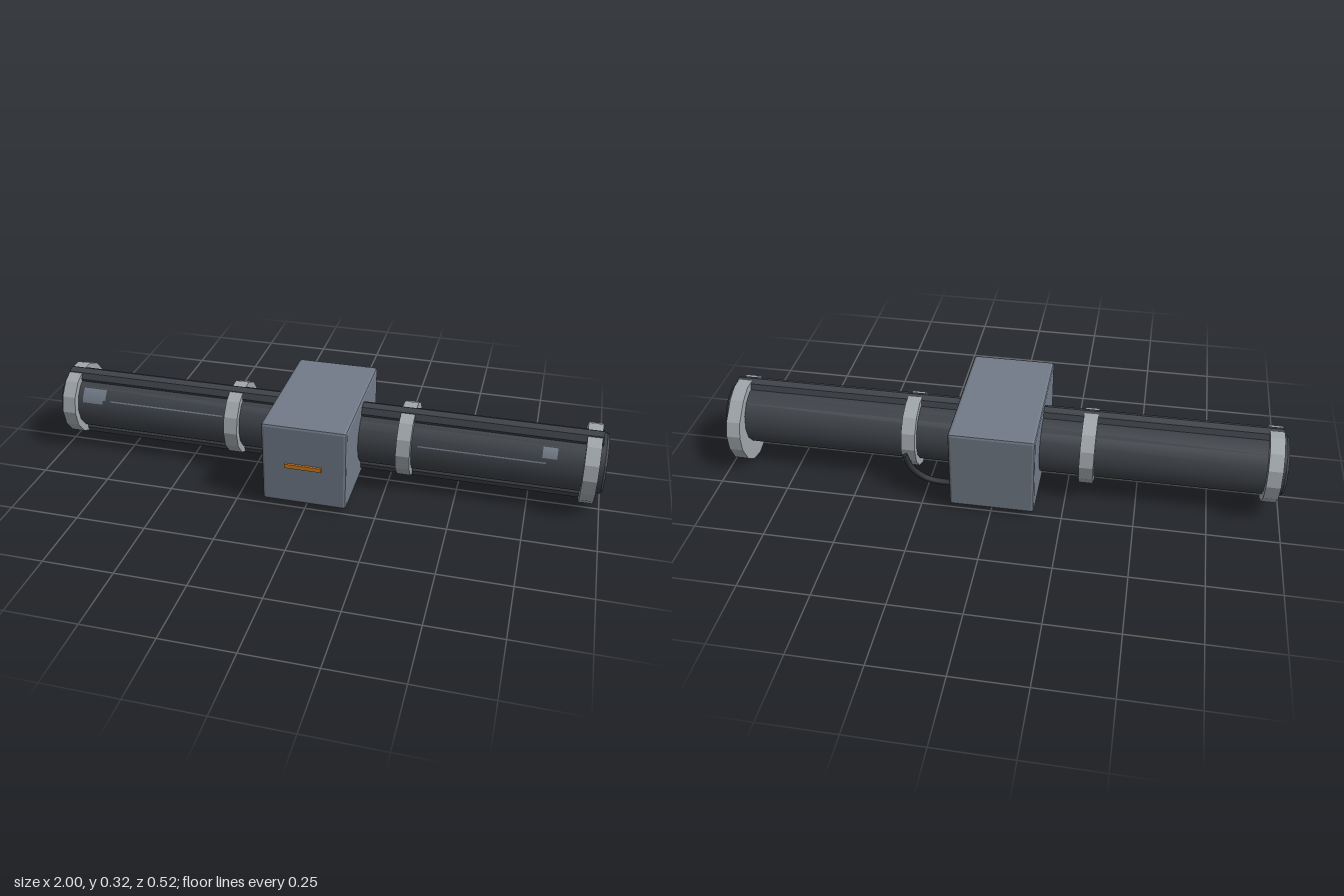
import * as THREE from 'three';
import { RoundedBoxGeometry } from 'three/addons/geometries/RoundedBoxGeometry.js';

const mat = (name, color, side = THREE.FrontSide) => {
  const m = new THREE.MeshStandardMaterial({ color, side });
  m.name = name;
  return m;
};

export function createModel() {
  const slate = mat('slate', 0x717a87);
  const slatePatch = mat('slate patch', 0x717a87, THREE.DoubleSide);
  const dark = mat('dark gunmetal', 0x3d4147);
  const pale = mat('pale grey', 0xa0a6ab);
  const orange = mat('orange', 0xd07a1e);
  const black = mat('cable black', 0x2c3034);

  const group = new THREE.Group();
  const axisY = 0.17, axisZ = -0.035, R = 0.108;
  const add = (name, geo, material, x, y, z) => {
    const mesh = new THREE.Mesh(geo, material);
    mesh.name = name;
    mesh.position.set(x, y, z);
    group.add(mesh);
    return mesh;
  };
  const flat = (geo) => {
    const g = geo.index ? geo.toNonIndexed() : geo;
    g.computeVertexNormals();
    return g;
  };
  // cylinder lying along x
  const lying = (r0, r1, len, sides, ...rest) =>
    new THREE.CylinderGeometry(r0, r1, len, sides, 1, ...rest).rotateZ(Math.PI / 2);

  // long barrel with chamfered ends
  add('barrel', lying(R, R, 1.984, 14, true), dark, 0, axisY, axisZ);
  add('leftEndCap', flat(lying(R, R - 0.006, 0.008, 14)), dark, 0.996, axisY, axisZ);
  add('rightEndCap', flat(lying(R - 0.006, R, 0.008, 14)), dark, -0.996, axisY, axisZ);

  // rods along the top and bottom of the barrel
  for (const [name, y] of [['topRod', 0.273], ['bottomRod', 0.066]]) {
    add(name, flat(lying(0.032, 0.032, 1.96, 8)), dark, 0, y, -0.014);
  }

  // clamp rings; outlines are drawn in (-z, y) and extruded along x
  const ring = (name, points, x) => {
    const shape = new THREE.Shape(points.map(([u, y]) => new THREE.Vector2(u, y)));
    const hole = new THREE.Path();
    for (let i = 0; i < 14; i++) {
      const a = -i / 14 * Math.PI * 2;
      const u = -axisZ + 0.106 * Math.cos(a), y = axisY + 0.106 * Math.sin(a);
      if (i) hole.lineTo(u, y); else hole.moveTo(u, y);
    }
    shape.holes.push(hole);
    const geo = new THREE.ExtrudeGeometry(shape, { depth: 0.05, bevelEnabled: false });
    geo.translate(0, 0, -0.025).rotateY(Math.PI / 2);
    add(name, geo, pale, x, 0, 0);
  };
  const round = Array.from({ length: 14 }, (_, i) => {
    const a = i / 14 * Math.PI * 2;
    return [-axisZ + 0.134 * Math.cos(a), axisY + 0.134 * Math.sin(a)];
  });
  ring('rightEndRing', round, -0.955);
  ring('rightInnerRing', round, -0.32);
  ring('leftInnerRing', round, 0.312);
  // the left end ring bulges down and back
  ring('leftEndRing', [
    [-0.099, 0.17], [-0.085, 0.11], [-0.05, 0.06], [0, 0.018], [0.06, 0], [0.12, 0.013],
    [0.165, 0.05], [0.195, 0.11], [0.2, 0.17], [0.18, 0.22], [0.12, 0.277], [0.07, 0.301],
    [0.01, 0.301], [-0.05, 0.275], [-0.088, 0.225],
  ], 0.95);

  // central housing
  add('housing', flat(new RoundedBoxGeometry(0.3, 0.305, 0.508, 1, 0.01)), slate, -0.003, 0.1705, -0.004);
  add('indicatorLight', new THREE.BoxGeometry(0.13, 0.015, 0.009), orange, -0.005, 0.17, 0.2535);

  // worn patches on the front of the barrel
  const patch = (name, x0, x1, a, len) =>
    add(name, lying(R + 0.0015, R + 0.0015, x1 - x0, 1, true, a, len), slatePatch, (x0 + x1) / 2, axisY, axisZ);
  const facet = Math.PI / 7;
  patch('rightWornPatch', -0.91, -0.83, facet * 0.7, facet * 0.3);
  patch('rightWornPatchTop', -0.91, -0.82, facet, facet * 0.85);
  patch('leftWornPatch', 0.785, 0.835, facet, facet * 0.8);
  patch('rightScratch', -0.8, -0.36, facet * 0.95, facet * 0.1);
  patch('leftScratch', 0.36, 0.8, facet * 0.6, facet * 0.1);

  // cable sagging from the inner ring to the back of the housing
  const path = new THREE.CatmullRomCurve3([
    [0.315, 0.17, -0.2], [0.295, 0.115, -0.196], [0.245, 0.065, -0.185], [0.19, 0.048, -0.176], [0.135, 0.045, -0.168],
  ].map((p) => new THREE.Vector3(...p)));
  add('cable', new THREE.TubeGeometry(path, 16, 0.011, 8, false), black, 0, 0, 0);
  const tip = add('cableEnd', new THREE.CircleGeometry(0.011, 8), black, 0.315, 0.17, -0.2);
  tip.lookAt(path.getPoint(0).sub(path.getTangent(0)));

  return group;
}
